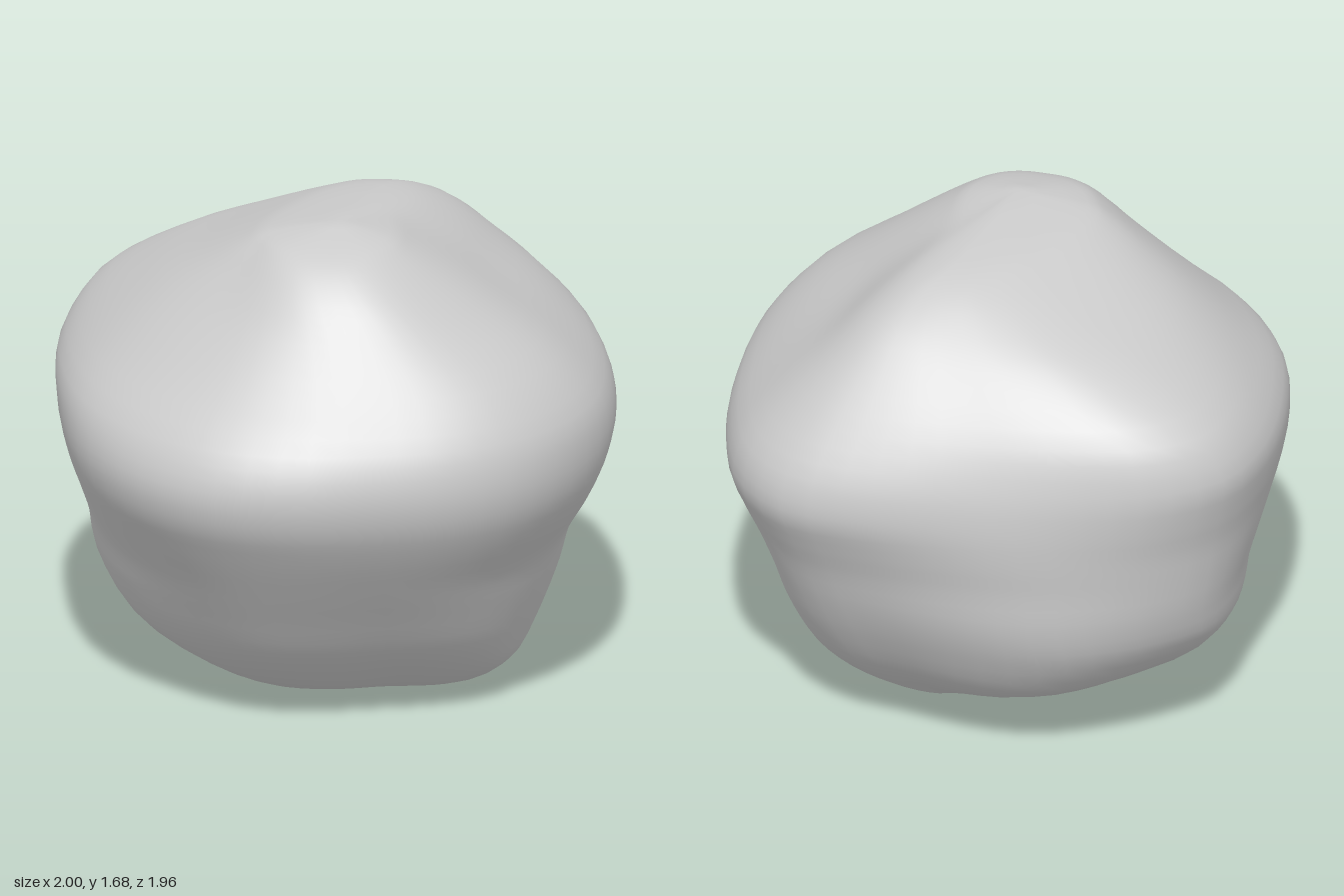
import * as THREE from 'three';

// Widest outline of the boulder seen from above (x, z)
const OUTLINE = [
  [1, 0.04], [0.97, 0.27], [0.8, 0.51], [0.53, 0.75], [0.23, 0.92], [-0.04, 0.97], [-0.28, 0.94],
  [-0.5, 0.83], [-0.7, 0.65], [-0.88, 0.44], [-0.99, 0.18], [-0.98, -0.12], [-0.85, -0.43],
  [-0.6, -0.7], [-0.29, -0.91], [-0.04, -0.98], [0.2, -0.91], [0.45, -0.7], [0.68, -0.44], [0.88, -0.2],
];

// Cross-sections: y, reach to -x, +x, +z, -z, lean of the front towards -x,
// then diagonal swell for (+x+z), (-x+z), (-x-z), (+x-z)
const RINGS = [
  [0.03, 0.25, 0.30, 0.42, 0.12, -0.35, 1.06, 0.85, 1.1, 1.1],
  [0.11, 0.42, 0.45, 0.56, 0.31, -0.27, 1.06, 0.88, 1.1, 1.3],
  [0.26, 0.60, 0.64, 0.66, 0.65, -0.12, 1.05, 0.94, 1.07, 1.27],
  [0.43, 0.72, 0.76, 0.74, 0.83, -0.05, 1.04, 0.97, 1.03, 1.18],
  [0.57, 0.81, 0.83, 0.80, 0.88, 0, 1.03, 0.99, 1.01, 1.13],
  [0.72, 0.91, 0.89, 0.90, 0.91, 0, 1.01, 1, 1, 1.09],
  [0.84, 0.98, 0.95, 0.96, 0.93, 0, 1, 1, 1, 1.06],
  [0.96, 1.00, 1.00, 0.98, 0.96, 0, 1, 1, 1, 1.02],
  [1.09, 0.95, 0.98, 0.96, 0.98, 0, 0.98, 1, 1, 1],
  [1.25, 0.79, 0.87, 0.85, 0.91, 0.04, 0.93, 1, 1, 1],
  [1.41, 0.63, 0.72, 0.65, 0.67, 0.14, 0.87, 1.03, 1.06, 1],
  [1.52, 0.52, 0.59, 0.51, 0.42, 0.3, 0.85, 1.03, 1.15, 1.02],
  [1.60, 0.43, 0.43, 0.40, 0.23, 0.45, 0.83, 1, 1.2, 1.1],
  [1.64, 0.36, 0.27, 0.33, 0.12, 0.5, 0.82, 0.96, 1.2, 1.1],
];

const BOTTOM = new THREE.Vector3(-0.04, 0, 0.04);
const TOP = new THREE.Vector3(-0.18, 1.68, 0.15);

// Fit one outline point to a cross-section
function ringPoint(p, [y, left, right, front, back, lean, ...swell]) {
  const quadrant = p.x >= 0 ? (p.z >= 0 ? 0 : 3) : (p.z >= 0 ? 1 : 2);
  const diagonal = Math.sin(2 * Math.atan2(p.z, p.x)) ** 2;
  const s = 1 + (swell[quadrant] - 1) * diagonal;
  const z = (p.z / 0.975) * (p.z < 0 ? back : front) * s;
  return new THREE.Vector3(p.x * (p.x < 0 ? left : right) * s - lean * z, y, z);
}

function boulderGeometry(around = 60, up = 48) {
  const outline = new THREE.CatmullRomCurve3(
    OUTLINE.map(([x, z]) => new THREE.Vector3(x, 0, z)), true);
  const positions = [...BOTTOM.toArray()];
  const index = [];

  // Vertical ribs from the lowest to the highest point
  for (let i = 0; i < around; i++) {
    const p = outline.getPointAt(i / around);
    const rib = new THREE.CatmullRomCurve3([BOTTOM, ...RINGS.map((r) => ringPoint(p, r)), TOP]);
    for (let j = 1; j < up; j++) positions.push(...rib.getPoint(j / up).toArray());
  }
  const last = positions.length / 3;
  positions.push(...TOP.toArray());

  // Skin between neighbouring ribs
  const at = (i, j) => (j === 0 ? 0 : j === up ? last : 1 + (i % around) * (up - 1) + j - 1);
  for (let i = 0; i < around; i++) {
    for (let j = 0; j < up; j++) {
      const a = at(i, j), b = at(i, j + 1), c = at(i + 1, j + 1), d = at(i + 1, j);
      if (j < up - 1) index.push(a, b, c);
      if (j > 0) index.push(a, c, d);
    }
  }
  const geometry = new THREE.BufferGeometry();
  geometry.setAttribute('position', new THREE.Float32BufferAttribute(positions, 3));
  geometry.setIndex(index);
  geometry.computeVertexNormals();
  return geometry;
}

export function createModel() {
  const group = new THREE.Group();
  group.name = 'rock';
  const boulder = new THREE.Mesh(
    boulderGeometry(), new THREE.MeshStandardMaterial({ color: 0xcccccc }));
  boulder.name = 'boulder';
  group.add(boulder);
  return group;
}
